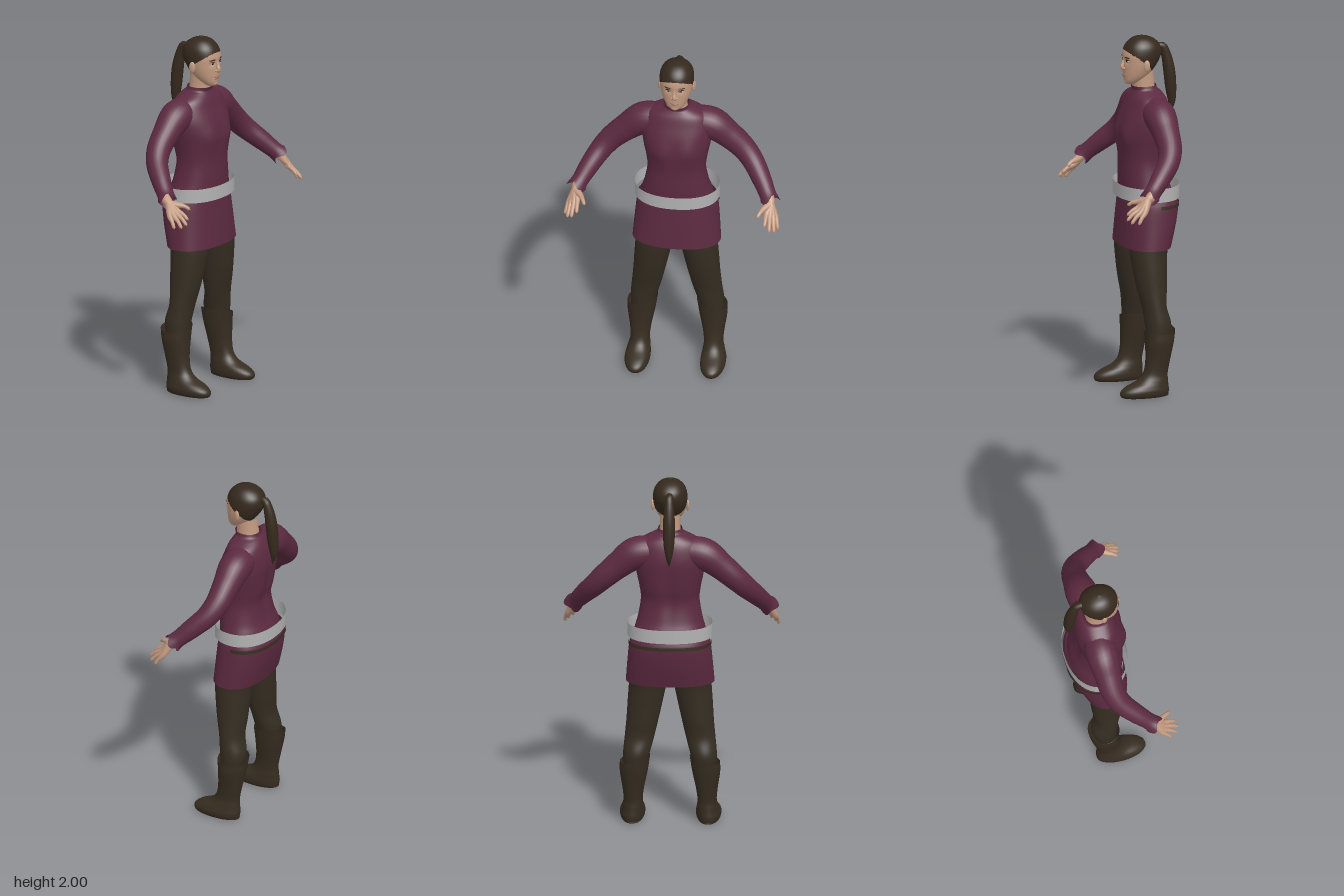
import * as THREE from 'three';
import { mergeVertices } from 'three/addons/utils/BufferGeometryUtils.js';

const mat = (name, color, side = THREE.FrontSide) => {
  const m = new THREE.MeshStandardMaterial({ color, side });
  m.name = name;
  return m;
};

// Smooth loft through horizontal sections [y, centreX, halfWidth, frontZ, backZ], listed upward.
function loft(rows, { p = 2, segs = 40, steps = 48, from = 0, to = Math.PI * 2, shape } = {}) {
  const a = new THREE.CatmullRomCurve3(rows.map(r => new THREE.Vector3(r[1], r[0], r[2])), false, 'catmullrom');
  const b = new THREE.CatmullRomCurve3(rows.map(r => new THREE.Vector3(r[3], r[4], 0)), false, 'catmullrom');
  const closed = to - from > 6.28, cols = closed ? segs : segs + 1;
  const pos = [], idx = [], v = new THREE.Vector3();
  const pow = c => Math.sign(c) * Math.abs(c) ** (2 / p);
  for (let i = 0; i <= steps; i++) {
    const s = a.getPoint(i / steps), d = b.getPoint(i / steps);
    for (let j = 0; j < cols; j++) {
      const t = from + (to - from) * j / segs;
      v.set(s.x + s.z * pow(Math.cos(t)), Math.max(0, s.y), (d.x + d.y) / 2 + (d.x - d.y) / 2 * pow(Math.sin(t)));
      if (shape) shape(v);
      pos.push(v.x, v.y, v.z);
      if (i < steps && j < segs) {
        const k = i * cols + j, n = i * cols + (j + 1) % cols;
        idx.push(k, k + cols, n, n, k + cols, n + cols);
      }
    }
  }
  const g = new THREE.BufferGeometry();
  g.setAttribute('position', new THREE.Float32BufferAttribute(pos, 3));
  g.setIndex(idx);
  g.computeVertexNormals();
  return g;
}

// Tube with a changing radius through points [x, y, z, radius]; ragged cuts a notched open end.
function limb(pts, steps = 24, segs = 14, ragged = 0) {
  const curve = new THREE.CatmullRomCurve3(pts.map(q => new THREE.Vector3(q[0], q[1], q[2])));
  const radii = new THREE.CatmullRomCurve3(pts.map((q, i) => new THREE.Vector3(i, q[3], 0)), false, 'catmullrom');
  let g = new THREE.TubeGeometry(curve, steps, 1, segs);
  const P = g.attributes.position, v = new THREE.Vector3();
  for (let i = 0; i <= steps; i++) {
    const c = curve.getPointAt(i / steps), r = radii.getPoint(curve.getUtoTmapping(i / steps)).y;
    const tangent = curve.getTangentAt(i / steps);
    for (let j = 0; j <= segs; j++) {
      const k = i * (segs + 1) + j;
      v.fromBufferAttribute(P, k).sub(c).multiplyScalar(r).add(c);
      if (i === steps) v.addScaledVector(tangent, ragged * Math.cos(6 * Math.PI * j / segs));
      P.setXYZ(k, v.x, v.y, v.z);
    }
  }
  g.deleteAttribute('uv');
  g.deleteAttribute('normal');
  g = mergeVertices(g, 1e-5);
  g.computeVertexNormals();
  return g;
}

export function createModel() {
  const model = new THREE.Group();
  const cloth = mat('maroon cloth', 0x5c2a40, THREE.DoubleSide);
  const brown = mat('dark brown tights', 0x352d22, THREE.DoubleSide);
  const leather = mat('boot leather', 0x372d21, THREE.DoubleSide);
  const hair = mat('dark hair', 0x35291d);
  const skin = mat('skin', 0xc39a80);
  const metal = mat('grey belt', 0xb2b2b2, THREE.DoubleSide);
  const lip = mat('lips', 0xa06f60);
  const white = mat('eye white', 0xb8aaa0);
  const dark = mat('iris', 0x241a14);

  const add = (name, geo, material) => {
    const m = new THREE.Mesh(geo, material);
    m.name = name;
    model.add(m);
    return m;
  };
  const blob = (name, material, at, size, turn = 0) => {
    const m = add(name, new THREE.SphereGeometry(1, 16, 12), material);
    m.position.set(...at);
    m.scale.set(...size);
    m.rotation.y = turn;
  };

  // Sweater body with bust and spine groove
  add('sweater', loft([
    [1.08, 0, 0.205, 0.07, -0.215], [1.14, 0, 0.195, 0.075, -0.2], [1.2, 0, 0.178, 0.078, -0.18],
    [1.3, 0, 0.162, 0.078, -0.165], [1.38, 0, 0.17, 0.082, -0.18], [1.46, 0, 0.186, 0.084, -0.19],
    [1.54, 0, 0.195, 0.07, -0.195], [1.61, 0, 0.185, 0.045, -0.185], [1.655, 0, 0.16, 0.028, -0.17],
    [1.685, 0, 0.105, 0.012, -0.15], [1.7, 0, 0.075, 0.006, -0.132], [1.72, 0, 0.066, 0.014, -0.126],
  ], {
    p: 2.2, segs: 56, shape: v => {
      if (v.z > 0) v.z += 0.014 * Math.exp(-(((Math.abs(v.x) - 0.075) / 0.05) ** 2) - ((v.y - 1.45) / 0.07) ** 2);
      else if (v.z < -0.1) v.z += 0.014 * Math.exp(-((v.x / 0.03) ** 2) - ((v.y - 1.38) / 0.16) ** 2);
    },
  }), cloth);

  // Skirt, sash behind it and the loose band round the hips
  const skirt = [
    [0.825, 0, 0.245, 0.093, -0.185], [0.95, 0, 0.235, 0.085, -0.218],
    [1.05, 0, 0.225, 0.077, -0.233], [1.1, 0, 0.212, 0.074, -0.222]];
  add('skirt', loft(skirt, { p: 2.3, segs: 56, steps: 20 }), cloth);
  add('rearSash', loft([[1.052, 0, 0.23, 0.08, -0.239], [1.072, 0, 0.228, 0.08, -0.238]],
    { p: 2.3, steps: 2, from: Math.PI, to: Math.PI * 2 }), brown);
  add('belt', loft([[1.098, 0, 0.235, 0.1, -0.242], [1.175, 0, 0.235, 0.1, -0.242]],
    { p: 2.2, segs: 48, steps: 2 }), metal);

  // Neck and head, the scalp coloured as hair above the hairline
  add('neck', loft([[1.66, 0, 0.065, 0, -0.125], [1.72, 0, 0.057, 0.006, -0.117], [1.8, 0, 0.056, 0.012, -0.112]],
    { steps: 10 }), skin);
  const head = loft([
    [1.728, 0, 0.002, 0.02, 0.016], [1.733, 0, 0.026, 0.043, -0.005], [1.75, 0, 0.046, 0.055, -0.035],
    [1.78, 0, 0.067, 0.059, -0.078], [1.82, 0, 0.083, 0.061, -0.115], [1.86, 0, 0.092, 0.062, -0.14],
    [1.9, 0, 0.095, 0.063, -0.155], [1.94, 0, 0.088, 0.052, -0.15], [1.97, 0, 0.069, 0.029, -0.126],
    [1.99, 0, 0.042, -0.002, -0.09], [2, 0, 0.001, -0.042, -0.046],
  ], {
    p: 2.1, segs: 96, steps: 100, shape: v => {
      // Eye sockets
      if (v.z > 0) v.z -= 0.007 * Math.exp(-(((Math.abs(v.x) - 0.034) / 0.018) ** 2) - ((v.y - 1.866) / 0.016) ** 2);
    },
  });
  const hairTris = [], skinTris = [], hp = head.attributes.position, hi = head.index.array;
  for (let i = 0; i < hi.length; i += 3) {
    const t = [hi[i], hi[i + 1], hi[i + 2]];
    const y = t.reduce((s, k) => s + hp.getY(k) / 3, 0), z = t.reduce((s, k) => s + hp.getZ(k) / 3, 0);
    const line = z < -0.05 ? 1.85 + (z + 0.05) * 1.2 : 1.85 + (z + 0.05) * 0.7;
    (y > line ? hairTris : skinTris).push(...t);
  }
  head.setIndex([...hairTris, ...skinTris]);
  head.addGroup(0, hairTris.length, 0);
  head.addGroup(hairTris.length, skinTris.length, 1);
  add('head', head, [hair, skin]);
  add('ponytail', limb([
    [0, 1.925, -0.13, 0.016], [0, 1.93, -0.165, 0.022], [0, 1.885, -0.187, 0.027], [0, 1.79, -0.207, 0.033],
    [0, 1.69, -0.217, 0.031], [0, 1.61, -0.222, 0.02], [0, 1.545, -0.214, 0.002]], 36, 18), hair);

  // Face
  add('nose', limb([[0, 1.89, 0.056, 0.005], [0, 1.852, 0.063, 0.009], [0, 1.83, 0.069, 0.012],
    [0, 1.819, 0.063, 0.011], [0, 1.813, 0.055, 0.001]]), skin);
  blob('upperLip', lip, [0, 1.786, 0.057], [0.024, 0.005, 0.008]);
  blob('lowerLip', lip, [0, 1.777, 0.056], [0.02, 0.006, 0.008]);
  blob('chin', skin, [0, 1.748, 0.041], [0.024, 0.016, 0.016]);

  for (const s of [1, -1]) {
    const side = s > 0 ? 'left' : 'right';
    const at = pts => pts.map(([x, ...rest]) => [s * x, ...rest]);
    const mirrorRows = rows => rows.map(([y, x, ...rest]) => [y, s * x, ...rest]);

    blob(side + 'Nostril', skin, [s * 0.012, 1.823, 0.059], [0.009, 0.008, 0.01]);
    blob(side + 'Eye', white, [s * 0.035, 1.866, 0.047], [0.016, 0.006, 0.008], s * 0.3);
    blob(side + 'Iris', dark, [s * 0.034, 1.866, 0.052], [0.007, 0.006, 0.005], s * 0.3);
    blob(side + 'Lashes', dark, [s * 0.035, 1.872, 0.05], [0.018, 0.003, 0.007], s * 0.3);
    blob(side + 'Brow', hair, [s * 0.037, 1.887, 0.053], [0.021, 0.004, 0.006], s * 0.35);
    blob(side + 'Ear', skin, [s * 0.096, 1.845, -0.042], [0.009, 0.032, 0.018], s * -0.3);

    // Sleeve with a notched cuff
    add(side + 'Sleeve', limb(at([
      [0.09, 1.59, -0.082, 0.085], [0.19, 1.573, -0.085, 0.09], [0.28, 1.507, -0.085, 0.076],
      [0.365, 1.43, -0.078, 0.067], [0.42, 1.37, -0.05, 0.061], [0.48, 1.295, 0.02, 0.054],
      [0.522, 1.235, 0.08, 0.047], [0.54, 1.21, 0.105, 0.053]]), 40, 24, 0.016), cloth);

    // Hand: each finger runs from the wrist over its knuckle to the tip
    const tips = {
      Index: [[0.526, 1.16, 0.165], [0.522, 1.118, 0.232]],
      Middle: [[0.544, 1.15, 0.168], [0.55, 1.094, 0.243]],
      Ring: [[0.561, 1.142, 0.16], [0.575, 1.08, 0.226]],
      Little: [[0.574, 1.136, 0.145], [0.593, 1.076, 0.188]],
      Thumb: [[0.508, 1.188, 0.16], [0.479, 1.165, 0.215]],
    };
    for (const [name, [k, t]] of Object.entries(tips)) {
      const mid = k.map((c, i) => c * 0.45 + t[i] * 0.55 + (i === 1 ? 0.006 : 0));
      const end = k.map((c, i) => c * 0.08 + t[i] * 0.92);
      add(side + name + 'Finger', limb(at([
        [0.528, 1.23, 0.075, 0.027], [0.54, 1.2, 0.112, 0.024], [...k, 0.016],
        [...mid, 0.011], [...end, 0.009], [...t, 0.001]]), 22, 10), skin);
    }

    // Leg and boot
    add(side + 'Leg', loft(mirrorRows([
      [0.3, 0.196, 0.06, -0.01, -0.13], [0.4, 0.186, 0.073, 0, -0.147], [0.5, 0.168, 0.082, 0.012, -0.125],
      [0.6, 0.152, 0.089, 0.035, -0.133], [0.7, 0.138, 0.097, 0.052, -0.138], [0.82, 0.122, 0.105, 0.066, -0.148],
      [0.95, 0.11, 0.112, 0.062, -0.185], [1.06, 0.1, 0.1, 0.05, -0.19]])), brown);
    add(side + 'Boot', loft(mirrorRows([
      [0, 0.21, 0.001, 0.02, 0.01], [0, 0.21, 0.05, 0.13, -0.11], [0.014, 0.21, 0.066, 0.154, -0.123],
      [0.038, 0.21, 0.07, 0.15, -0.126], [0.062, 0.208, 0.066, 0.118, -0.124], [0.09, 0.206, 0.059, 0.055, -0.122],
      [0.13, 0.204, 0.053, 0.018, -0.121], [0.2, 0.203, 0.06, 0.003, -0.134], [0.3, 0.2, 0.077, 0.003, -0.155],
      [0.375, 0.193, 0.084, 0.008, -0.166]]), {
      p: 2.15, steps: 60, shape: v => {
        // Boot top rises toward the inner side
        if (v.y > 0.3) v.y += (v.y - 0.3) * (0.19 - Math.abs(v.x)) * 3;
      },
    }), leather);
  }
  return model;
}
